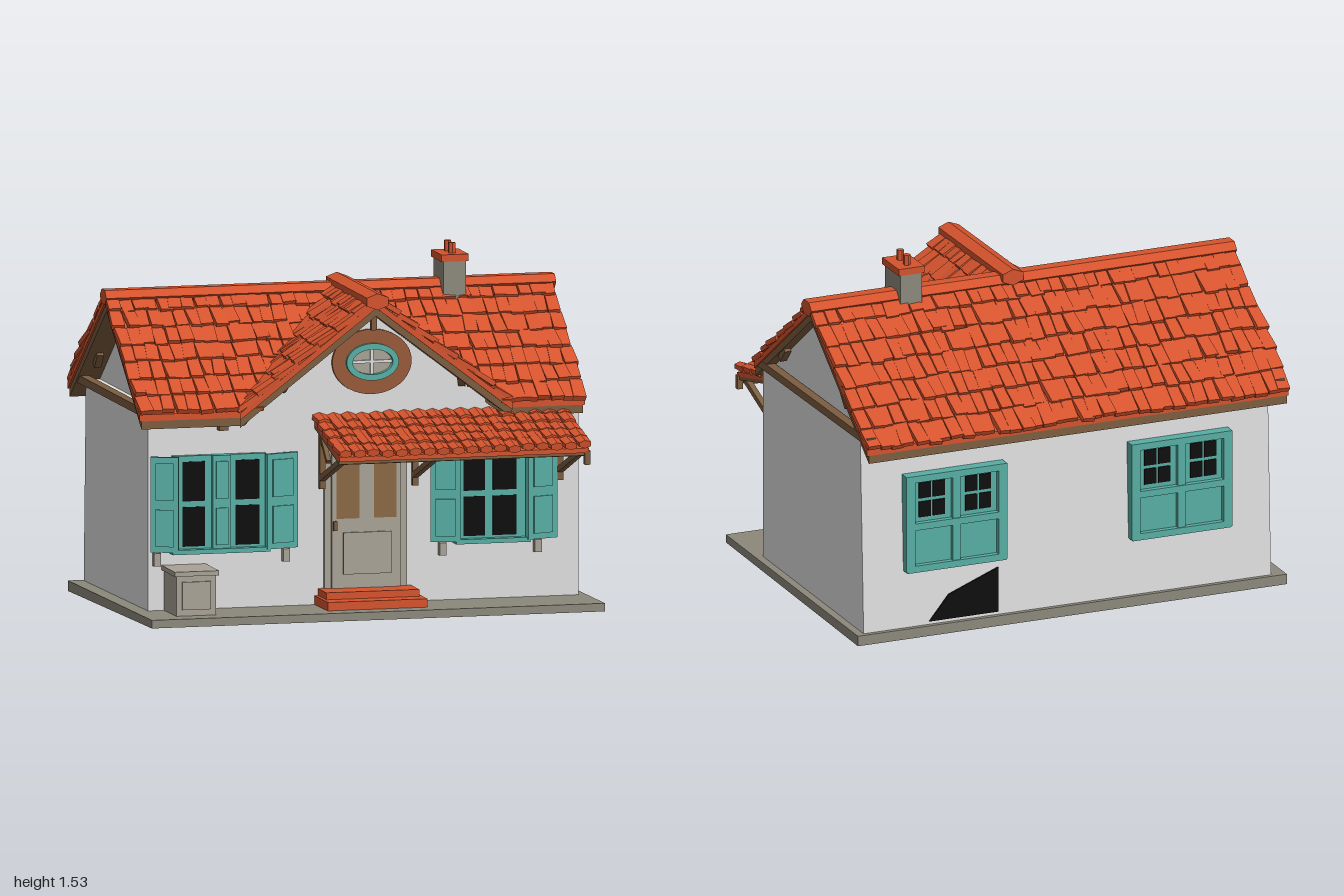
import * as THREE from 'three';
import { mergeGeometries } from 'three/addons/utils/BufferGeometryUtils.js';

const mat = (name, color) => {
  const m = new THREE.MeshStandardMaterial({ color });
  m.name = name;
  return m;
};
const V = (x, y, z) => new THREE.Vector3(x, y, z);

export function createModel() {
  const house = new THREE.Group();
  house.name = 'cottage';
  const tile = mat('terracotta', 0xd4532d), wood = mat('wood', 0x7c5d40), plaster = mat('white plaster', 0xdedede),
    stone = mat('stone', 0x8c887b), teal = mat('teal paint', 0x58aea4), black = mat('dark glass', 0x0e0e0e),
    greige = mat('weathered paint', 0xa8a296), ring = mat('brick', 0x985a3a), amber = mat('door glass', 0x8a6844);

  let seed = 7;
  const rnd = (a = 1) => {
    seed = (seed * 16807) % 2147483647;
    return (seed / 2147483647 * 2 - 1) * a;
  };
  const add = (name, geo, m) => {
    const mesh = new THREE.Mesh(geo, m);
    mesh.name = name;
    house.add(mesh);
    return mesh;
  };
  // Box given by its ranges on the three axes
  const box = (name, m, x0, x1, y0, y1, z0, z1) => {
    const b = add(name, new THREE.BoxGeometry(x1 - x0, y1 - y0, z1 - z0), m);
    b.position.set((x0 + x1) / 2, (y0 + y1) / 2, (z0 + z1) / 2);
    return b;
  };
  // Square timber between two points
  const strut = (name, a, b, t = 0.025) => {
    const s = add(name, new THREE.BoxGeometry(t, t, a.distanceTo(b)), wood);
    s.position.copy(a).add(b).multiplyScalar(0.5);
    s.lookAt(b);
    return s;
  };
  const polygon = pts => new THREE.Shape(pts.map(p => new THREE.Vector2(...p)));
  const extrude = (shape, depth) => new THREE.ExtrudeGeometry(shape, { depth, bevelEnabled: false, curveSegments: 20 });

  // Slab with an x,z outline whose top follows the height rule h
  const slab = (name, m, pts, h, drop, t) => {
    const g = extrude(polygon(pts), 1), p = g.attributes.position;
    for (let i = 0; i < p.count; i++) {
      const x = p.getX(i), z = p.getY(i), d = p.getZ(i);
      p.setXYZ(i, x, h(x, z) - drop - t * d, z);
    }
    g.computeVertexNormals();
    return add(name, g, m);
  };

  // Rows of overlapping uneven tiles; u runs along the ridge, d down the slope
  const tiles = (name, origin, u, d, width, length, cols, rows, keep = () => true, round = false) => {
    const n = d.clone().cross(u).normalize();
    if (n.y < 0) n.negate();
    const side = n.clone().cross(d), parts = [];
    const w = width / cols, l = length / rows;
    for (let r = 0; r < rows; r++) for (let c = 0; c < cols; c++) {
      const at = origin.clone().addScaledVector(u, (c + 0.5) * w).addScaledVector(d, (r + 0.5) * l);
      if (!keep(at)) continue;
      let g;
      if (round) {
        g = new THREE.CylinderGeometry(w * 0.48, w * 0.58, l * 1.15, 6).rotateX(Math.PI / 2).scale(1, 0.6, 1).toNonIndexed();
      } else {
        g = new THREE.BoxGeometry(w * (0.97 + rnd(0.06)), 0.022, l * (1.08 + rnd(0.12))).toNonIndexed();
        const p = g.attributes.position, skew = rnd(0.012);
        for (let i = 0; i < p.count; i++) if (p.getZ(i) > 0) p.setX(i, p.getX(i) * 1.06 + skew);
      }
      g.computeVertexNormals();
      g.rotateX(-0.1 + rnd(0.03)).rotateZ(rnd(round ? 0.04 : 0.12));
      at.addScaledVector(n, 0.012 + rnd(0.004)).addScaledVector(d, rnd(0.006));
      g.applyMatrix4(new THREE.Matrix4().makeBasis(side, n, d).setPosition(at));
      parts.push(g);
    }
    return add(name, mergeGeometries(parts), tile);
  };

  // Sloping stone base
  const base = new THREE.BoxGeometry(2, 1, 1.39), bp = base.attributes.position;
  for (let i = 0; i < bp.count; i++) {
    const front = bp.getZ(i) > 0;
    bp.setY(i, bp.getY(i) > 0 ? (front ? 0.065 : 0.045) : (front ? 0.03 : 0));
  }
  base.computeVertexNormals();
  add('base', base, stone).position.z = -0.025;

  // Walls, leaning slightly at the back, and gables
  const profile = extrude(polygon([[-0.36, 0.045], [0.7, 0.045], [0.665, 0.92], [-0.36, 0.92]]), 1.9);
  add('walls', profile.rotateY(Math.PI / 2).translate(-0.935, 0, 0), plaster);
  const sideGable = extrude(polygon([[-0.36, 0.91], [0.66, 0.91], [0.15, 1.29]]), 1.8);
  add('sideGables', sideGable.rotateY(Math.PI / 2).translate(-0.88, 0, 0), plaster);
  add('frontGable', extrude(polygon([[-0.48, 0.91], [0.58, 0.91], [0.05, 1.315]]), 0.4).translate(0, 0, -0.04), plaster);

  // Main roof, with a notch in the front slope for the cross gable
  const mainH = (x, z) => 1.345 - 0.74 * Math.abs(z + 0.15);
  const crossH = x => 1.37 - 0.765 * Math.abs(x - 0.05);
  const back = [[-0.99, -0.15], [0.975, -0.15], [0.975, -0.76], [-0.99, -0.76]];
  const front = [[-0.99, -0.15], [0.975, -0.15], [0.975, 0.43], [0.63, 0.43], [0.05, -0.15], [-0.53, 0.43], [-0.99, 0.43]];
  for (const [n, pts] of [['backRoof', back], ['frontRoof', front]]) {
    slab(n, tile, pts, mainH, 0, 0.028);
    slab(n + 'Boards', wood, pts.map(([x, z]) => [x * 0.992, z]), mainH, 0.028, 0.035);
  }
  const down = Math.hypot(1, 0.74), X = V(1, 0, 0), Z = V(0, 0, 1);
  tiles('backRoofTiles', V(-0.995, 1.345, -0.15), X, V(0, -0.74, -1).normalize(), 1.975, 0.62 * down, 36, 7);
  tiles('frontRoofTiles', V(-0.995, 1.345, -0.15), X, V(0, -0.74, 1).normalize(), 1.975, 0.585 * down, 36, 7,
    p => Math.abs(p.x - 0.05) > p.z + 0.13);

  // Cross gable roof
  for (const s of [-1, 1]) {
    const pts = [[0.05, -0.17], [0.05, 0.45], [0.05 + s * 0.6, 0.45]];
    slab('crossRoof', tile, pts, crossH, 0, 0.03);
    slab('crossRoofBoards', wood, pts.map(([x, z]) => [x, z - 0.008]), crossH, 0.03, 0.035);
    tiles('crossRoofTiles', V(0.05, 1.37, -0.15), Z, V(s, -0.765, 0).normalize(), 0.6, 0.6 * Math.hypot(1, 0.765), 11, 7,
      p => Math.abs(p.x - 0.05) < p.z + 0.19);
    strut('gableBrace', V(0.05 + s * 0.4, 0.99, 0.37), V(0.05 + s * 0.37, 1.07, 0.43), 0.03);
    for (const x of [-0.93, 0.945]) // braces beneath the side verges
      strut('vergeBrace', V(x, 1.0, -0.15 + s * 0.35), V(x, 1.06, -0.15 + s * 0.3), 0.03);
  }
  strut('gablePost', V(0.05, 1.24, 0.4), V(0.05, 1.33, 0.4), 0.025);

  // Ridge caps
  const cap = (len, r) => {
    const g = new THREE.CylinderGeometry(r, r, len, 6).toNonIndexed();
    g.computeVertexNormals();
    return g;
  };
  add('mainRidge', cap(1.985, 0.055).rotateZ(Math.PI / 2).scale(1, 0.65, 1), tile).position.set(-0.004, 1.345, -0.15);
  add('crossRidge', cap(0.68, 0.055).rotateX(Math.PI / 2).scale(1, 0.65, 1), tile).position.set(0.05, 1.37, 0.13);

  // Tie beams and eave corbels
  for (const x of [-0.955, 0.95]) box('tieBeam', wood, x - 0.02, x + 0.02, 0.905, 0.94, -0.75, 0.42);
  for (const x of [-0.61, 0.78]) box('frontCorbel', wood, x - 0.02, x + 0.02, 0.83, 0.93, 0.35, 0.4);
  for (const x of [-0.6, -0.1, 0.25, 0.8]) box('backCorbel', wood, x - 0.015, x + 0.015, 0.85, 0.93, -0.72, -0.66);

  // Chimney
  box('chimney', stone, 0.48, 0.58, 1.2, 1.46, -0.22, -0.055);
  box('chimneyCap', tile, 0.47, 0.59, 1.455, 1.485, -0.225, -0.05);
  for (const z of [-0.175, -0.105]) add('chimneyPot', cap(0.05, 0.016), tile).position.set(0.53, 1.505, z);

  // Porch roof with timber brackets
  const porchH = (x, z) => 0.855 - 0.25 * (z - 0.36);
  const porch = [[-0.2, 0.35], [0.9, 0.35], [0.9, 0.775], [-0.2, 0.775]];
  slab('porchRoof', tile, porch, porchH, 0, 0.02);
  slab('porchBoards', wood, porch.map(([x, z]) => [x, z - 0.01]), porchH, 0.02, 0.015);
  tiles('porchTiles', V(-0.21, 0.858, 0.36), X, V(0, -0.25, 1).normalize(), 1.12, 0.44, 18, 5, undefined, true);
  strut('porchBeam', V(-0.18, 0.728, 0.72), V(0.89, 0.728, 0.72), 0.03);
  for (const x of [-0.17, 0.24, 0.88]) {
    strut('porchBrace', V(x, 0.6, 0.36), V(x, 0.73, 0.72));
    strut('porchKnee', V(x, 0.79, 0.37), V(x, 0.69, 0.48), 0.02);
    strut('porchWallPost', V(x, 0.56, 0.37), V(x, 0.83, 0.37));
  }
  strut('gutterSpout', V(0.895, 0.74, 0.765), V(0.895, 0.68, 0.765));

  // Door and steps
  box('doorFrame', greige, -0.16, 0.205, 0.1, 0.74, 0.35, 0.375);
  box('doorLeaf', greige, -0.13, 0.175, 0.12, 0.71, 0.36, 0.385);
  for (const x of [-0.11, 0.055]) box('doorGlass', amber, x, x + 0.1, 0.43, 0.68, 0.384, 0.39);
  box('doorPanel', greige, -0.08, 0.13, 0.19, 0.37, 0.38, 0.394);
  box('doorHandle', wood, -0.125, -0.11, 0.38, 0.42, 0.38, 0.4);
  box('lowerStep', tile, -0.2, 0.24, 0.05, 0.1, 0.36, 0.58);
  box('upperStep', tile, -0.185, 0.225, 0.1, 0.13, 0.36, 0.5);

  // Front windows: frame, panes and shutters
  const frontWindow = (x0, x1, panes, shutters) => {
    box('windowFrame', teal, x0, x1, 0.315, 0.725, 0.35, 0.385);
    for (const [a, b] of panes) for (const y of [0.335, 0.53]) box('pane', black, a, b, y, y + 0.17, 0.383, 0.388);
    box('sill', teal, x0 - 0.01, x1 + 0.01, 0.305, 0.325, 0.35, 0.42);
    for (const [a, b, turn] of shutters) {
      const w = b - a, shutter = new THREE.Group();
      shutter.name = 'shutter';
      for (const [sx, sy, sz, py, pz] of [[w, 0.41, 0.022, 0, 0], [w * 0.65, 0.16, 0.03, 0.1, 0.003], [w * 0.65, 0.16, 0.03, -0.1, 0.003]]) {
        const m = new THREE.Mesh(new THREE.BoxGeometry(sx, sy, sz), teal);
        m.name = 'shutterBoard';
        m.position.set(0, py, pz);
        shutter.add(m);
      }
      shutter.position.set((a + b) / 2, 0.52, 0.395);
      shutter.rotation.y = turn;
      house.add(shutter);
    }
  };
  frontWindow(-0.83, -0.42, [[-0.79, -0.69], [-0.555, -0.45]],
    [[-0.93, -0.81, -0.35], [-0.66, -0.58, 0], [-0.43, -0.28, 0.25]]);
  frontWindow(0.42, 0.73, [[0.45, 0.545], [0.58, 0.685]], [[0.305, 0.435, -0.3], [0.72, 0.865, 0.3]]);
  for (const x of [-0.9, -0.33, 0.36, 0.78]) box('sillCorbel', greige, x - 0.015, x + 0.015, 0.255, 0.31, 0.355, 0.39);

  // Back windows: deep frames with shelves and small upper panes
  for (const c of [0.54, -0.51]) {
    box('backWindowPanel', teal, c - 0.21, c + 0.21, 0.31, 0.72, -0.7, -0.66);
    for (const s of [-1, 1]) {
      box('backWindowJamb', teal, c + s * 0.215 - 0.02, c + s * 0.215 + 0.02, 0.3, 0.73, -0.725, -0.66);
      for (const x of [0.075, 0.14]) for (const y of [0.535, 0.62])
        box('backPane', black, c + s * x - 0.028, c + s * x + 0.028, y, y + 0.07, -0.705, -0.699);
    }
    box('backWindowPost', teal, c - 0.018, c + 0.018, 0.32, 0.71, -0.72, -0.68);
    for (const y of [0.31, 0.5, 0.715]) box('backWindowRail', teal, c - 0.23, c + 0.23, y - 0.015, y + 0.015, -0.725, -0.66);
  }

  // Dark opening at the foot of the back wall
  const vent = extrude(polygon([[0.66, 0.06], [0.34, 0.06], [0.34, 0.26], [0.57, 0.17]]), 0.008);
  add('cellarOpening', vent.translate(0, 0, -0.708), black);

  // Oval gable window
  const oval = (rx, ry) => new THREE.Shape().absellipse(0, 0, rx, ry, 0, Math.PI * 2);
  const ovalRing = (name, m, rx, ry, t, depth) => {
    const s = oval(rx, ry);
    s.holes.push(oval(rx - t, ry - t));
    add(name, extrude(s, depth), m).position.set(0.05, 1.1, 0.355);
  };
  ovalRing('ovalSurround', ring, 0.175, 0.14, 0.065, 0.02);
  ovalRing('ovalFrame', teal, 0.115, 0.08, 0.026, 0.035);
  add('ovalGlass', extrude(oval(0.1, 0.065), 0.008), greige).position.set(0.05, 1.1, 0.357);
  box('ovalMullion', plaster, 0.043, 0.057, 1.04, 1.16, 0.36, 0.375);
  box('ovalTransom', plaster, -0.04, 0.14, 1.094, 1.106, 0.36, 0.375);

  // Crate beside the wall
  box('crate', greige, -0.865, -0.69, 0.06, 0.24, 0.36, 0.57);
  box('crateLid', greige, -0.875, -0.68, 0.235, 0.255, 0.36, 0.58);
  box('cratePanel', greige, -0.84, -0.715, 0.09, 0.21, 0.56, 0.578);
  return house;
}
